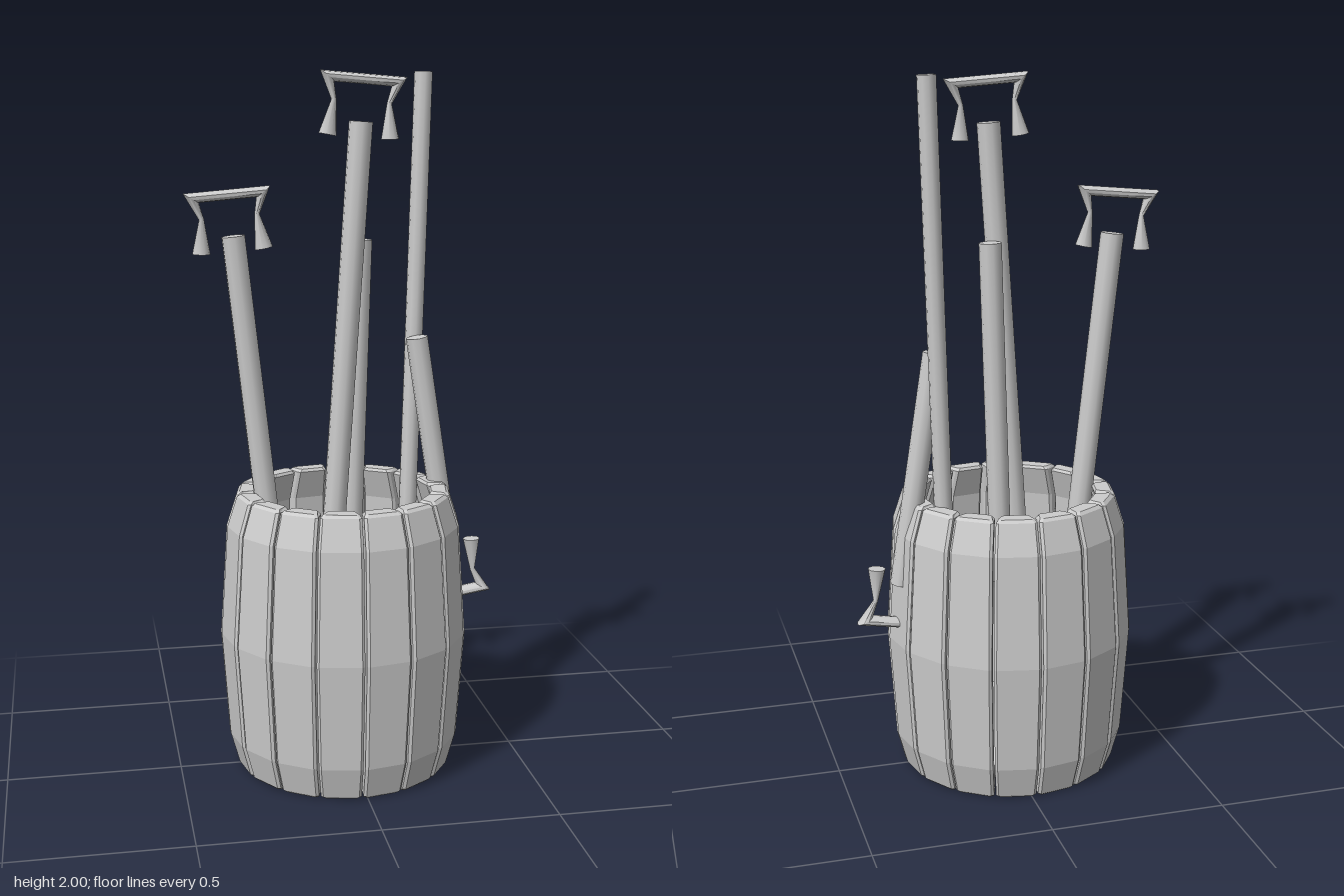
import * as THREE from 'three';
import { toCreasedNormals, mergeVertices } from 'three/addons/utils/BufferGeometryUtils.js';

const V = (x, y, z) => new THREE.Vector3(x, y, z);

// Skin a list of rings of equal length, closing both ends with fans
function loft(rings, crease) {
  const n = rings[0].length, pos = [], idx = [];
  rings.forEach(r => r.forEach(p => pos.push(p.x, p.y, p.z)));
  for (let i = 0; i < rings.length - 1; i++) {
    for (let k = 0; k < n; k++) {
      const a = i * n + k, b = i * n + (k + 1) % n, c = a + n, d = b + n;
      idx.push(a, c, b, b, c, d);
    }
  }
  [rings[0], rings[rings.length - 1]].forEach((r, end) => {
    const m = r.reduce((s, p) => s.add(p), V(0, 0, 0)).divideScalar(n);
    const centre = pos.length / 3, base = end ? (rings.length - 1) * n : 0;
    pos.push(m.x, m.y, m.z);
    for (let k = 0; k < n; k++) {
      const a = base + k, b = base + (k + 1) % n;
      if (end) idx.push(centre, b, a); else idx.push(centre, a, b);
    }
  });
  const g = new THREE.BufferGeometry();
  g.setAttribute('position', new THREE.Float32BufferAttribute(pos, 3));
  g.setIndex(idx);
  return toCreasedNormals(g, crease);
}

// Barrel board: chamfered rectangle swept up a bulging profile
function staveGeometry() {
  const profile = [ // height, outer distance, edge inset
    [0, 0.306, 0.007], [0.008, 0.308, 0], [0.1, 0.333, 0], [0.41, 0.354, 0],
    [0.73, 0.333, 0], [0.817, 0.305, 0], [0.825, 0.303, 0.007],
  ];
  const thick = 0.056, bevel = 0.007, slope = Math.tan(Math.PI / 16);
  return loft(profile.map(([y, r, inset]) => {
    const outer = r - inset, inner = r - thick + inset;
    const wo = r * slope - 0.004 - inset, wi = (r - thick) * slope - 0.004 - inset;
    return [
      [wo, outer - bevel], [wo - bevel, outer], [bevel - wo, outer], [-wo, outer - bevel],
      [-wi, inner + bevel], [bevel - wi, inner], [wi - bevel, inner], [wi, inner + bevel],
    ].map(([x, z]) => V(x, y, z));
  }), 0.05);
}

// Bracket handle: pinched tube along a mitred path
function handleGeometry() {
  const path = [ // x, y, radius
    [-0.087, -0.155, 0.025], [-0.077, -0.06, 0.007], [-0.1, 0, 0.025],
    [0.1, 0, 0.025], [0.077, -0.06, 0.007], [0.087, -0.155, 0.025],
  ];
  const dir = i => new THREE.Vector2(path[i + 1][0] - path[i][0], path[i + 1][1] - path[i][1]).normalize();
  const last = path.length - 1;
  return loft(path.map(([x, y, r], i) => {
    const t = dir(Math.max(i - 1, 0)).add(dir(Math.min(i, last - 1))).normalize();
    return Array.from({ length: 10 }, (_, k) => {
      const a = k / 10 * Math.PI * 2, u = r * Math.cos(a);
      return V(x + t.y * u, y - t.x * u, r * Math.sin(a));
    });
  }), 0.9);
}

export function createModel() {
  const model = new THREE.Group();
  const grey = new THREE.MeshStandardMaterial({ color: 0xcccccc });
  grey.name = 'plain grey';
  const add = (name, geometry, parent = model) => {
    const mesh = new THREE.Mesh(geometry, grey);
    mesh.name = name;
    parent.add(mesh);
    return mesh;
  };

  // Barrel of sixteen staves
  const barrel = new THREE.Group();
  barrel.name = 'barrel';
  barrel.position.x = -0.015;
  model.add(barrel);
  const stave = staveGeometry();
  for (let i = 0; i < 16; i++) {
    add('stave', stave, barrel).rotation.y = (i + 0.5) * Math.PI / 8;
  }

  // Softly shaded floor disc
  let floor = new THREE.CylinderGeometry(0.283, 0.283, 0.05, 32);
  floor.deleteAttribute('normal');
  floor.deleteAttribute('uv');
  floor = mergeVertices(floor);
  floor.computeVertexNormals();
  add('barrelFloor', floor, barrel).position.y = 0.075;

  // Poles leaning in and on the barrel
  const pole = (name, bottom, top, radius) => {
    const axis = top.clone().sub(bottom);
    const mesh = add(name, new THREE.CylinderGeometry(radius, radius, axis.length(), 10));
    mesh.position.copy(bottom).lerp(top, 0.5);
    mesh.quaternion.setFromUnitVectors(V(0, 1, 0), axis.normalize());
  };
  pole('leftPole', V(-0.225, 0.67, 0), V(-0.322, 1.555, 0), 0.033);
  pole('middlePole', V(-0.063, 0.56, 0.055), V(0.025, 1.865, 0.055), 0.033);
  pole('backPole', V(0.005, 0.55, 0), V(0.036, 1.54, 0), 0.032);
  pole('tallPole', V(0.19, 0.45, -0.095), V(0.241, 2, -0.127), 0.026);
  pole('upturnedPole', V(0.315, 0.585, -0.054), V(0.212, 1.25, -0.054), 0.032);

  // Handles floating just past the pole ends
  const handle = handleGeometry();
  [
    ['leftHandle', -0.337, 1.668, 0, 0.085],
    ['middleHandle', 0.032, 1.978, 0.055, -0.08],
    ['upturnedHandle', 0.324, 0.47, -0.054, Math.PI + 0.16],
  ].forEach(([name, x, y, z, turn]) => {
    const mesh = add(name, handle);
    mesh.position.set(x, y, z);
    mesh.rotation.z = turn;
  });
  return model;
}
